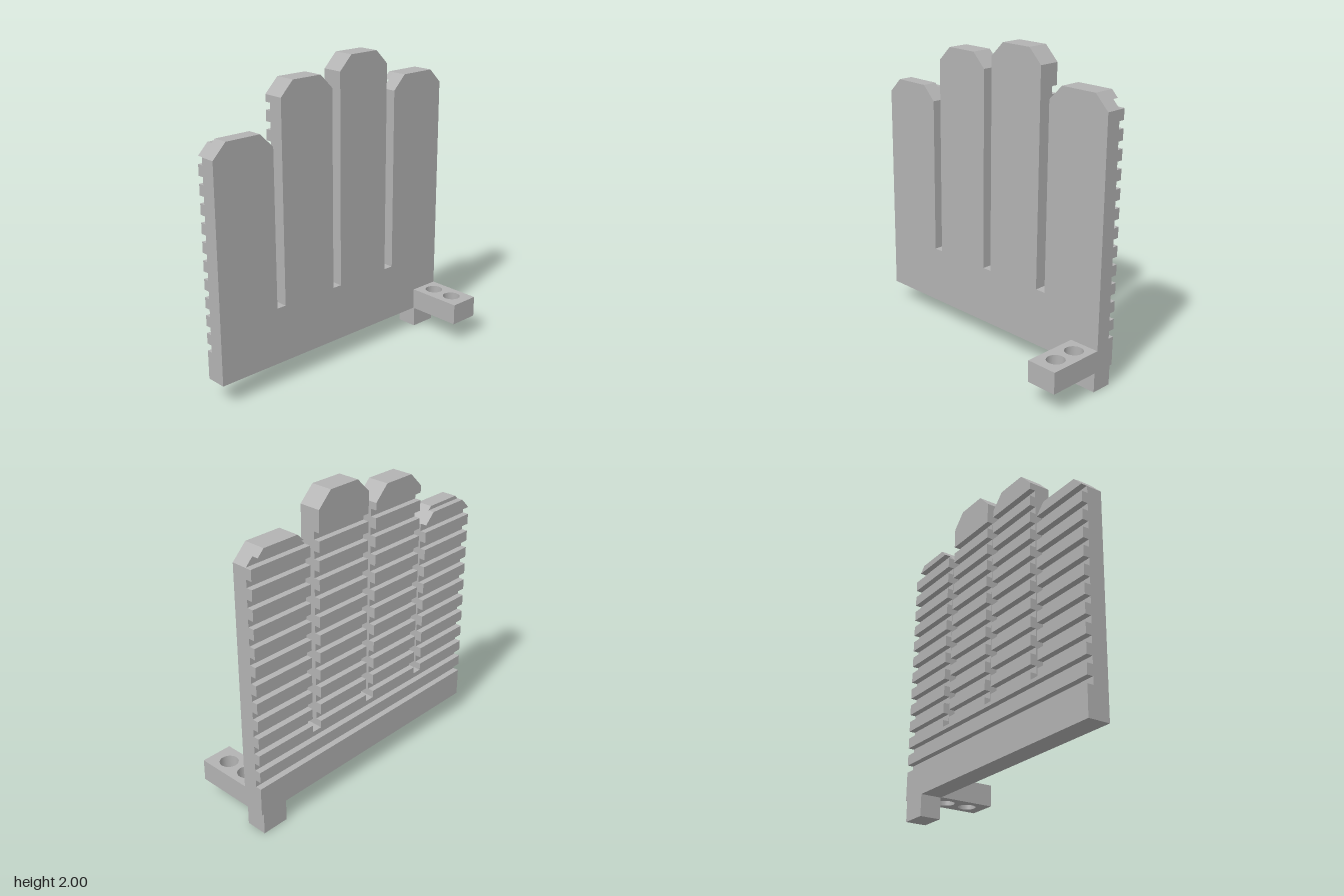
import * as THREE from 'three';

const grey = new THREE.MeshStandardMaterial({ color: 0xb2b2b2 });
grey.name = 'grey';

const BACK = -0.26, MID = -0.22, FRONT = -0.12; // x of ribbed face, groove floor, smooth face
const BASE = 0.14, SLOT = 0.515, CUT = 0.093;   // plate bottom, slot floor, corner chamfer
const END = 0.93;

// Fingers along u = -z: start, end, top
const fingers = [
  [-0.93, -0.50, 1.63],
  [-0.435, -0.035, 1.91],
  [0.03, 0.43, 2.0],
  [0.50, 0.93, 1.815],
];

const shapeOf = (pts) => new THREE.Shape(pts.map(([u, y]) => new THREE.Vector2(u, y)));

// Extrude an outline drawn in (-z, y) from x0 to x1
function slab(name, pts, x0, x1) {
  const g = new THREE.ExtrudeGeometry(shapeOf(pts), { depth: x1 - x0, bevelEnabled: false });
  g.rotateY(Math.PI / 2).translate(x0, 0, 0);
  const m = new THREE.Mesh(g, grey);
  m.name = name;
  return m;
}

// Slice of a chamfered finger between heights y0 and y1
function fingerSlice([a, b, top], y0, y1) {
  const hi = Math.min(y1, top), shoulder = top - CUT;
  const levels = [y0, hi];
  if (shoulder > y0 && shoulder < hi) levels.splice(1, 0, shoulder);
  const inset = (y) => Math.max(0, y - shoulder);
  const right = levels.map((y) => [b - inset(y), y]);
  const left = levels.map((y) => [a + inset(y), y]).reverse();
  return [...right, ...left];
}

export function createModel() {
  const model = new THREE.Group();
  model.name = 'fingeredPlate';

  // Smooth plate with four fingers
  const outline = [[-END, BASE]];
  for (const [a, b, top] of [...fingers].reverse()) {
    outline.push([b, b === END ? BASE : SLOT], [b, top - CUT], [b - CUT, top],
      [a + CUT, top], [a, top - CUT]);
    if (a !== -END) outline.push([a, SLOT]);
  }
  model.add(slab('plate', outline, MID, FRONT));

  // Ribs: solid bands left between thirteen grooves
  const ribs = new THREE.Group();
  ribs.name = 'ribs';
  const grooveBottom = (k) => 0.328 + 0.1163 * k;
  for (let k = 0; k <= 13; k++) {
    const y0 = k === 0 ? BASE : grooveBottom(k - 1) + 0.048;
    const y1 = k === 13 ? 2 : grooveBottom(k);
    if (y0 < SLOT) {
      const t = Math.min(y1, SLOT);
      ribs.add(slab('baseRib', [[-END, y0], [END, y0], [END, t], [-END, t]], BACK, MID));
    }
    const start = Math.max(y0, SLOT);
    if (y1 <= start) continue;
    for (const f of fingers) {
      if (start < f[2]) ribs.add(slab('fingerRib', fingerSlice(f, start, y1), BACK, MID));
    }
  }
  model.add(ribs);

  // Mounting arm with two through holes
  const arm = shapeOf([[FRONT, 0.725], [0.255, 0.725], [0.255, END], [FRONT, END]]);
  for (const x of [-0.025, 0.135]) {
    arm.holes.push(new THREE.Path().absarc(x, 0.83, 0.058, 0, Math.PI * 2, true));
  }
  const armGeo = new THREE.ExtrudeGeometry(arm, { depth: 0.14, bevelEnabled: false, curveSegments: 32 });
  armGeo.rotateX(-Math.PI / 2).translate(0, BASE, 0);
  const armMesh = new THREE.Mesh(armGeo, grey);
  armMesh.name = 'mountingArm';
  model.add(armMesh);

  // Foot peg below the plate
  const foot = new THREE.Mesh(new THREE.BoxGeometry(FRONT - BACK, BASE, 0.18), grey);
  foot.name = 'foot';
  foot.position.set((FRONT + BACK) / 2, BASE / 2, -0.825);
  model.add(foot);

  return model;
}
